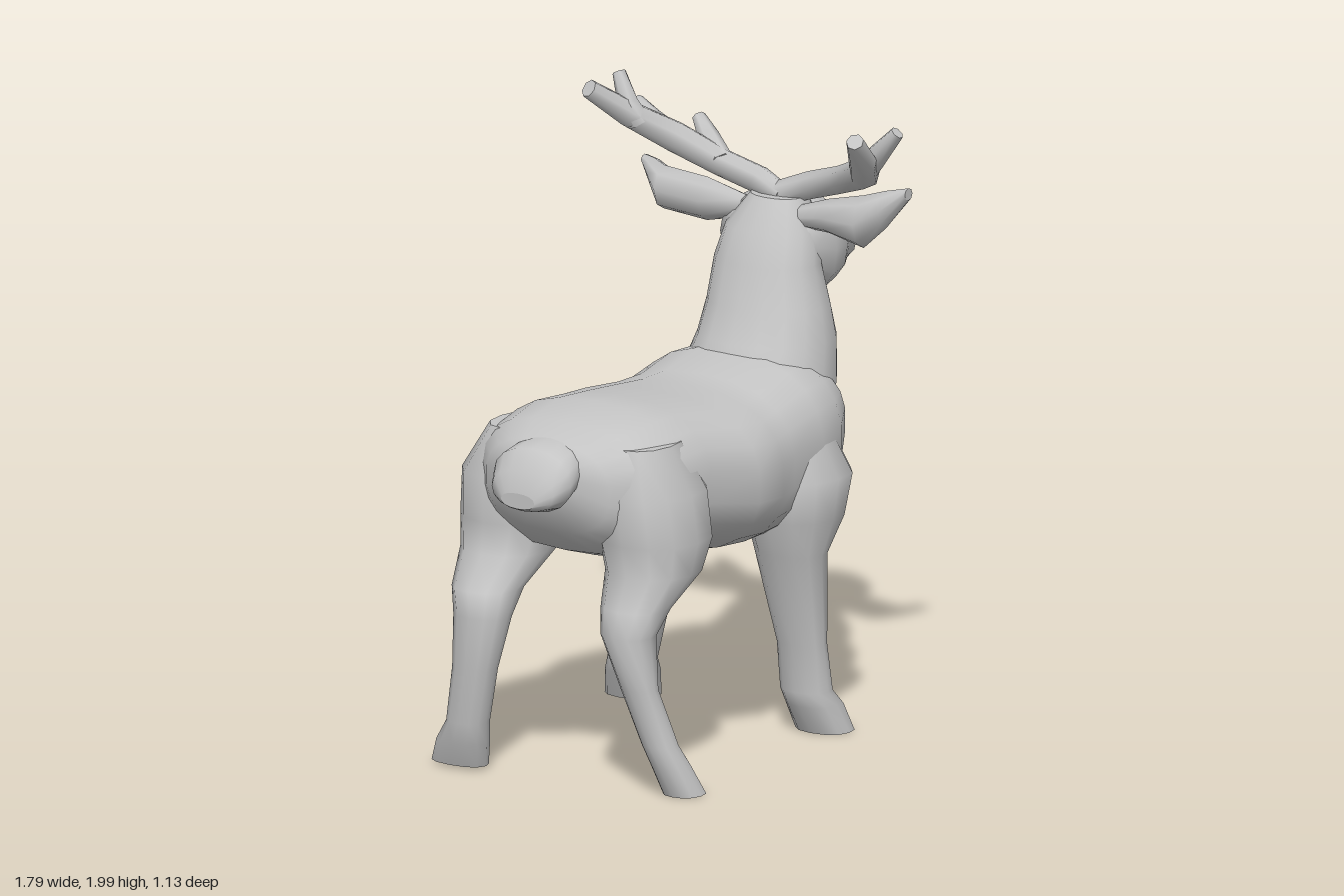
import * as THREE from 'three';

const coat = new THREE.MeshStandardMaterial({ color: 0xc4c4c4 });
coat.name = 'greyCoat';

// Skin a list of rings (each a list of Vector3, counter-clockwise about the path) and cap both ends
function skin(name, rings) {
  const n = rings[0].length, pos = [], idx = [];
  const push = p => pos.push(p.x, p.y, p.z) / 3 - 1;
  rings.forEach(r => r.forEach(push));
  for (let i = 0; i < rings.length - 1; i++) {
    for (let j = 0; j < n; j++) {
      const k = (j + 1) % n, a = i * n + j, b = i * n + k;
      idx.push(a, b, a + n, b, b + n, a + n);
    }
  }
  [rings[0], rings[rings.length - 1]].forEach((r, end) => {
    const mid = push(r.reduce((s, p) => s.add(p), new THREE.Vector3()).divideScalar(n));
    const first = mid + 1;
    r.forEach(push);
    for (let j = 0; j < n; j++) {
      const a = first + j, b = first + (j + 1) % n;
      if (end) idx.push(mid, a, b); else idx.push(mid, b, a);
    }
  });
  const g = new THREE.BufferGeometry();
  g.setAttribute('position', new THREE.Float32BufferAttribute(pos, 3));
  g.setIndex(idx);
  g.computeVertexNormals();
  const mesh = new THREE.Mesh(g, coat);
  mesh.name = name;
  return mesh;
}

// Rounded slices across one axis: [position, min1, max1, min2, max2] in the order of the other two axes
function slices(name, axis, rows, power = 0.9, sides = 16) {
  const k = 'xyz'.indexOf(axis);
  const others = [0, 1, 2].filter(i => i !== k);
  const dir = Math.sign(rows[rows.length - 1][0] - rows[0][0]) * (k === 1 ? -1 : 1);
  const round = v => Math.sign(v) * Math.abs(v) ** power;
  return skin(name, rows.map(([at, a0, a1, b0, b1]) =>
    Array.from({ length: sides }, (_, j) => {
      const t = j / sides * Math.PI * 2 * dir, p = new THREE.Vector3();
      p.setComponent(k, at);
      p.setComponent(others[0], (a0 + a1) / 2 + (a1 - a0) / 2 * round(Math.cos(t)));
      p.setComponent(others[1], (b0 + b1) / 2 + (b1 - b0) / 2 * round(Math.sin(t)));
      return p;
    })));
}

// Tapered branch through points [x, y, z, radius]
function branch(name, pts, sides = 7) {
  const v = pts.map(p => new THREE.Vector3(p[0], p[1], p[2]));
  return skin(name, v.map((c, i) => {
    const t = v[Math.min(i + 1, v.length - 1)].clone().sub(v[Math.max(i - 1, 0)]).normalize();
    const u = new THREE.Vector3(1, 1, 0).projectOnPlane(t).normalize();
    const w = t.clone().cross(u);
    return Array.from({ length: sides }, (_, j) => {
      const a = j / sides * Math.PI * 2;
      return c.clone().addScaledVector(u, Math.cos(a) * pts[i][3]).addScaledVector(w, Math.sin(a) * pts[i][3]);
    });
  }));
}

export function createModel() {
  const deer = new THREE.Group();
  deer.name = 'deer';

  // Trunk, rump to chest: x, bottom, top, z range
  const trunk = [
    [-0.78, 0.92, 1.06, 0.12], [-0.75, 0.82, 1.11, 0.24], [-0.66, 0.74, 1.155, 0.34], [-0.5, 0.69, 1.185, 0.38],
    [-0.37, 0.69, 1.18, 0.36], [-0.2, 0.66, 1.16, 0.42], [-0.05, 0.645, 1.15, 0.4], [0.05, 0.64, 1.16, 0.37],
    [0.2, 0.64, 1.2, 0.37], [0.32, 0.67, 1.2, 0.35], [0.42, 0.8, 1.16, 0.29], [0.5, 0.92, 1.12, 0.2],
  ].map(([x, y0, y1, h]) => [x, y0, y1, -h, h]);
  deer.add(slices('body', 'x', trunk, 0.8, 22));

  // Neck, chest upward: y, x range, z range
  deer.add(slices('neck', 'y', [
    [0.7, 0.2, 0.36, -0.18, 0.18], [0.85, 0.15, 0.45, -0.25, 0.25], [1.0, 0.12, 0.53, -0.27, 0.27],
    [1.1, 0.13, 0.58, -0.25, 0.25], [1.22, 0.2, 0.585, -0.22, 0.23], [1.32, 0.255, 0.575, -0.21, 0.2],
    [1.45, 0.3, 0.56, -0.2, 0.16], [1.55, 0.34, 0.58, -0.18, 0.14], [1.65, 0.41, 0.56, -0.11, 0.08],
  ]));

  // Head, turned a little to its right
  deer.add(slices('head', 'x', [
    [0.38, 1.47, 1.56, -0.14, 0.1], [0.45, 1.38, 1.63, -0.22, 0.15], [0.55, 1.31, 1.65, -0.25, 0.16],
    [0.62, 1.335, 1.63, -0.23, 0.15], [0.7, 1.36, 1.58, -0.22, 0.1], [0.8, 1.37, 1.52, -0.24, 0.05],
    [0.86, 1.375, 1.49, -0.245, -0.02], [0.89, 1.41, 1.47, -0.21, -0.07],
  ], 0.8));

  // Tail
  deer.add(slices('tail', 'x', [
    [-0.9, 0.92, 0.97, -0.07, 0.06], [-0.88, 0.91, 1.04, -0.12, 0.12], [-0.83, 0.9, 1.1, -0.15, 0.15],
    [-0.76, 0.94, 1.115, -0.14, 0.14], [-0.68, 1.0, 1.12, -0.1, 0.1],
  ]));

  // Legs, top to hoof: y, x range, z range
  const legs = {
    frontLeftLeg: [
      [1.02, 0.1, 0.32, 0.16, 0.33], [0.85, 0.04, 0.38, 0.12, 0.42], [0.72, 0.05, 0.34, 0.11, 0.41],
      [0.6, 0.1, 0.275, 0.13, 0.37], [0.3, 0.17, 0.28, 0.18, 0.35], [0.15, 0.17, 0.3, 0.19, 0.36],
      [0.1, 0.19, 0.35, 0.19, 0.37], [0.01, 0.23, 0.38, 0.2, 0.39],
    ],
    frontRightLeg: [
      [1.02, 0.1, 0.32, -0.33, -0.16], [0.85, 0.04, 0.38, -0.43, -0.12], [0.72, 0.05, 0.34, -0.44, -0.13],
      [0.6, 0.1, 0.275, -0.42, -0.15], [0.3, 0.17, 0.28, -0.45, -0.27], [0.15, 0.17, 0.3, -0.48, -0.32],
      [0.1, 0.19, 0.35, -0.51, -0.34], [0.01, 0.23, 0.38, -0.54, -0.36],
    ],
    hindLeftLeg: [
      [1.1, -0.68, -0.42, 0.12, 0.33], [0.95, -0.73, -0.36, 0.1, 0.41], [0.8, -0.72, -0.36, 0.1, 0.43],
      [0.7, -0.71, -0.42, 0.13, 0.42], [0.6, -0.76, -0.57, 0.17, 0.39], [0.52, -0.79, -0.63, 0.2, 0.37],
      [0.35, -0.75, -0.65, 0.26, 0.38], [0.17, -0.72, -0.61, 0.32, 0.43], [0.1, -0.7, -0.58, 0.34, 0.46],
      [0.01, -0.67, -0.54, 0.36, 0.49],
    ],
    hindRightLeg: [
      [1.1, -0.68, -0.42, -0.33, -0.12], [0.95, -0.74, -0.36, -0.42, -0.1], [0.8, -0.73, -0.38, -0.43, -0.1],
      [0.7, -0.74, -0.45, -0.41, -0.12], [0.6, -0.83, -0.62, -0.36, -0.14], [0.52, -0.845, -0.7, -0.33, -0.14],
      [0.35, -0.84, -0.73, -0.33, -0.18], [0.17, -0.83, -0.72, -0.36, -0.22], [0.1, -0.82, -0.7, -0.41, -0.23],
      [0.02, -0.79, -0.68, -0.45, -0.25],
    ],
  };
  for (const [name, rows] of Object.entries(legs)) deer.add(slices(name, 'y', rows, 0.85, 12));

  // Ears, root to tip: z, x range, y range
  deer.add(slices('leftEar', 'z', [
    [0.08, 0.43, 0.5, 1.56, 1.63], [0.2, 0.41, 0.5, 1.56, 1.67], [0.33, 0.4, 0.52, 1.53, 1.7],
    [0.4, 0.44, 0.53, 1.6, 1.72], [0.46, 0.5, 0.54, 1.69, 1.73],
  ], 1, 8));
  deer.add(slices('rightEar', 'z', [
    [-0.13, 0.43, 0.5, 1.56, 1.63], [-0.27, 0.4, 0.5, 1.53, 1.67], [-0.44, 0.4, 0.51, 1.54, 1.68],
    [-0.5, 0.44, 0.52, 1.61, 1.69], [-0.55, 0.48, 0.52, 1.66, 1.69],
  ], 1, 8));

  // Antlers with their tines
  deer.add(
    branch('leftAntler', [[0.48, 1.64, -0.04, 0.04], [0.5, 1.69, 0.1, 0.045], [0.45, 1.74, 0.25, 0.045],
      [0.37, 1.8, 0.4, 0.05], [0.28, 1.86, 0.46, 0.045], [0.185, 1.955, 0.5, 0.028]]),
    branch('leftAntlerTine', [[0.36, 1.8, 0.4, 0.04], [0.33, 1.88, 0.48, 0.035], [0.34, 1.96, 0.55, 0.022]]),
    branch('rightAntler', [[0.48, 1.64, 0, 0.04], [0.49, 1.68, -0.1, 0.045], [0.47, 1.72, -0.23, 0.045],
      [0.42, 1.79, -0.37, 0.05], [0.32, 1.87, -0.48, 0.042], [0.18, 1.97, -0.53, 0.03]]),
    branch('rightAntlerUpperTine', [[0.34, 1.84, -0.45, 0.04], [0.32, 1.9, -0.48, 0.035], [0.34, 1.99, -0.53, 0.022]]),
    branch('rightAntlerOuterTine', [[0.41, 1.79, -0.37, 0.04], [0.43, 1.83, -0.47, 0.035], [0.46, 1.87, -0.55, 0.022]]),
    branch('rightAntlerFrontTine', [[0.46, 1.72, -0.22, 0.04], [0.51, 1.78, -0.31, 0.035], [0.54, 1.83, -0.37, 0.022]]),
  );
  return deer;
}
